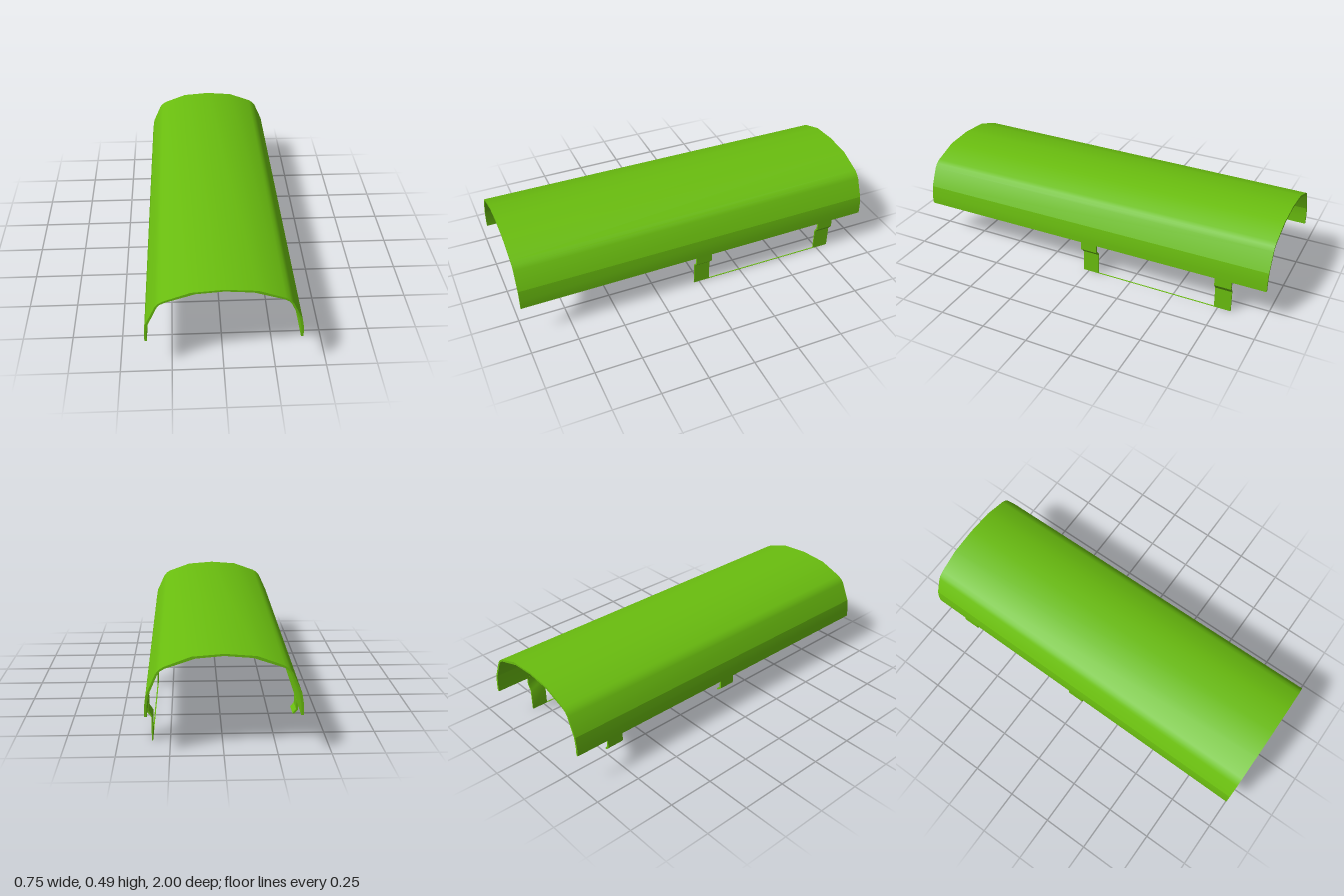
import * as THREE from 'three';
import { toCreasedNormals } from 'three/addons/utils/BufferGeometryUtils.js';

const material = new THREE.MeshStandardMaterial({ color: 0x6abe0f });

// Extrudes a closed x/y outline from z0 to z1; the width narrows towards the back if tapered.
function extrude(name, points, z0, z1, taper = 0) {
  const shape = new THREE.Shape(points.map(([x, y]) => new THREE.Vector2(x, y)));
  const geo = new THREE.ExtrudeGeometry(shape, { depth: z1 - z0, bevelEnabled: false });
  geo.translate(0, 0, z0);
  const pos = geo.attributes.position;
  for (let i = 0; i < pos.count; i++) {
    pos.setX(i, pos.getX(i) * (1 - taper * (1 - pos.getZ(i)) / 2));
  }
  const mesh = new THREE.Mesh(toCreasedNormals(geo, 0.6), material);
  mesh.name = name;
  return mesh;
}

const mirror = (pts) => pts.map(([x, y]) => [-x, y]);

export function createModel() {
  const group = new THREE.Group();
  group.name = 'curvedCover';
  const TAPER = 0.035;

  // Arched roof: half profiles run from the side seam up to the crown
  const outer = [[0.366, 0.3], [0.32, 0.4], [0.303, 0.42], [0.28, 0.434], [0.153, 0.48]];
  const inner = [[0.355, 0.297], [0.311, 0.396], [0.297, 0.413], [0.276, 0.425], [0.134, 0.471]];
  const arch = [
    ...outer, [0, 0.492], ...mirror(outer).reverse(),
    ...mirror(inner), [0, 0.482], ...[...inner].reverse(),
  ];
  group.add(extrude('roof', arch, -1, 1, TAPER));

  // Lower side panels
  const side = [[0.375, 0.195], [0.375, 0.245], [0.366, 0.3], [0.355, 0.297], [0.363, 0.245], [0.363, 0.195]];
  group.add(extrude('leftSidePanel', side, -1, 1, TAPER));
  group.add(extrude('rightSidePanel', mirror(side), -1, 1, TAPER));

  // Clips: long on the left, short hooks on the right
  const clips = [
    { z0: -0.06, z1: 0.03, xo: 0.367, xi: 0.357 },
    { z0: -0.82, z1: -0.73, xo: 0.361, xi: 0.351 },
  ];
  for (const { z0, z1, xo, xi } of clips) {
    group.add(extrude('longClip', [
      [xo, 0.2], [xo, 0.15], [0.339, 0.121], [0.339, 0], [0.333, 0], [0.333, 0.124], [xi, 0.153], [xi, 0.2],
    ], z0, z1));
    group.add(extrude('shortHook', mirror([
      [xo, 0.2], [xo, 0.148], [0.343, 0.128], [0.334, 0.131], [xi, 0.152], [xi, 0.2],
    ]), z0, z1));
  }

  // Thin link between the feet of the long clips
  const link = new THREE.Mesh(new THREE.BoxGeometry(0.006, 0.002, 0.67), material);
  link.name = 'clipLink';
  link.position.set(0.336, 0.001, -0.395);
  group.add(link);

  return group;
}
